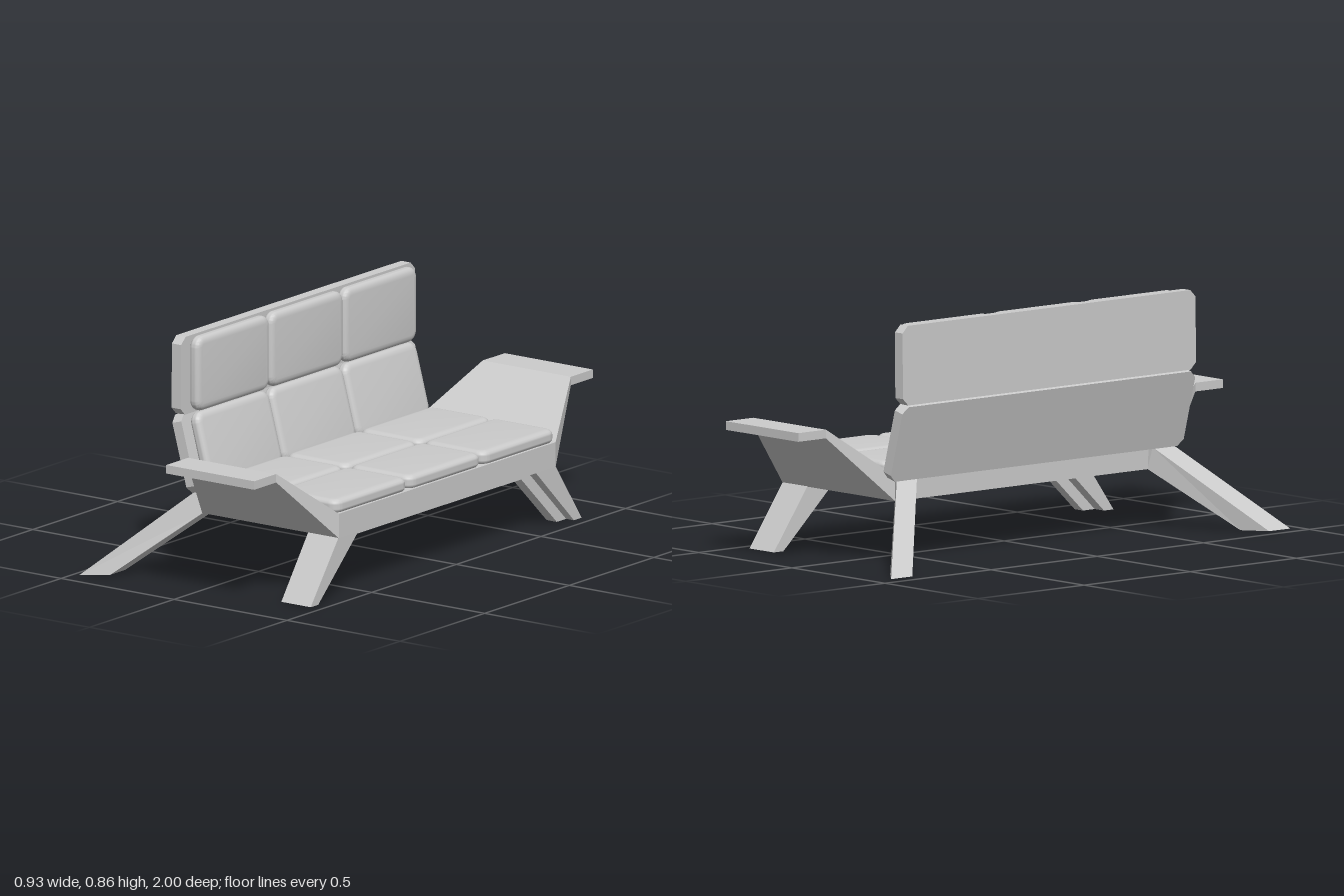
import * as THREE from 'three';
import { toCreasedNormals } from 'three/addons/utils/BufferGeometryUtils.js';

const grey = new THREE.MeshStandardMaterial({ color: 0xcccccc });

function mesh(name, geometry) {
  const m = new THREE.Mesh(geometry, grey);
  m.name = name;
  return m;
}

// Flat-faced solid through a row of four-cornered rings, capped at both ends
function loft(rings) {
  const tris = [];
  const quad = (a, b, c, d) => tris.push([a, b, c], [a, c, d]);
  for (let i = 0; i < rings.length - 1; i++) {
    const p = rings[i], q = rings[i + 1];
    for (let j = 0; j < 4; j++) {
      const k = (j + 1) % 4;
      quad(p[j], p[k], q[k], q[j]);
    }
  }
  const [a, b, c, d] = rings[0];
  quad(d, c, b, a);
  quad(...rings[rings.length - 1]);
  // turn the faces outward if the rings ran the other way round
  const v = (p) => new THREE.Vector3(...p);
  const volume = tris.reduce((s, t) => s + v(t[0]).dot(v(t[1]).cross(v(t[2]))), 0);
  if (volume < 0) tris.forEach((t) => t.reverse());
  const g = new THREE.BufferGeometry();
  g.setAttribute('position', new THREE.Float32BufferAttribute(tris.flat(2), 3));
  g.computeVertexNormals();
  return g;
}

// Upright plate: width along z, height along y, thickness along x, centred
function extrudePlate(shape, options) {
  const g = new THREE.ExtrudeGeometry(shape, options);
  g.center();
  g.rotateY(Math.PI / 2);
  return g;
}

function panelGeometry(w, h, t, cut) {
  const x = w / 2, y = h / 2;
  const points = [[x - cut, -y], [x, -y + cut], [x, y - cut], [x - cut, y],
    [-x + cut, y], [-x, y - cut], [-x, -y + cut], [-x + cut, -y]];
  const shape = new THREE.Shape(points.map((p) => new THREE.Vector2(...p)));
  return extrudePlate(shape, { depth: t, bevelEnabled: false });
}

function cushionGeometry(w, h, t) {
  const r = 0.04, x = w / 2, y = h / 2;
  const s = new THREE.Shape();
  s.absarc(x - r, y - r, r, 0, Math.PI / 2);
  s.absarc(-x + r, y - r, r, Math.PI / 2, Math.PI);
  s.absarc(-x + r, -y + r, r, Math.PI, Math.PI * 1.5);
  s.absarc(x - r, -y + r, r, Math.PI * 1.5, Math.PI * 2);
  const bevel = 0.018;
  const g = extrudePlate(s, {
    depth: t - 2 * bevel, curveSegments: 5, bevelSegments: 4,
    bevelThickness: bevel, bevelSize: 0.026, bevelOffset: -0.026,
  });
  return toCreasedNormals(g, 0.7);
}

export function createModel() {
  const model = new THREE.Group();
  model.name = 'bench';

  // Seat base that flares up into an armrest at each end: z, x0, x1, y0, y1
  const half = [
    [0.64, -0.145, 0.46, 0.22, 0.31],
    [0.87, -0.035, 0.355, 0.455, 0.486],
    [1.0, -0.035, 0.355, 0.455, 0.486],
  ];
  const mirrored = half.map(([z, ...rest]) => [-z, ...rest]).reverse();
  const rings = [...mirrored, ...half].map(([z, x0, x1, y0, y1]) =>
    [[x0, y0, z], [x1, y0, z], [x1, y1, z], [x0, y1, z]]);
  model.add(mesh('seatBaseWithArmrests', loft(rings)));

  // Stiffening rib under the front edge, running down both front legs
  const rib = (zLow, yLow, zHigh, yHigh) =>
    [[0.375, yLow, zLow], [0.42, yLow, zLow], [0.42, yHigh, zHigh], [0.375, yHigh, zHigh]];
  model.add(mesh('frontRib', loft([
    rib(-0.70, 0, -0.77, 0), rib(-0.49, 0.198, -0.53, 0.235),
    rib(0.49, 0.198, 0.53, 0.235), rib(0.70, 0, 0.77, 0),
  ])));

  for (const s of [1, -1]) {
    const side = s > 0 ? 'Left' : 'Right';

    // Front leg: broad slanted plate
    model.add(mesh('frontLeg' + side, loft([
      [[0.325, 0, s * 0.755], [0.455, 0, s * 0.755], [0.455, 0, s * 0.80], [0.325, 0, s * 0.80]],
      [[0.325, 0.225, s * 0.52], [0.459, 0.225, s * 0.52],
        [0.459, 0.225, s * 0.639], [0.325, 0.225, s * 0.639]],
    ])));

    // Rear leg: four-sided strut splayed out from the base corner
    model.add(mesh('rearLeg' + side, loft([
      [[-0.465, 0.005, s * 0.94], [-0.38, 0.005, s * 0.87],
        [-0.38, 0.005, s * 0.78], [-0.465, 0.005, s * 0.84]],
      [[-0.165, 0.30, s * 0.65], [-0.143, 0.22, s * 0.64],
        [-0.143, 0.22, s * 0.55], [-0.165, 0.30, s * 0.555]],
      [[-0.12, 0.30, s * 0.63], [-0.12, 0.225, s * 0.63],
        [-0.12, 0.225, s * 0.55], [-0.12, 0.30, s * 0.55]],
    ])));
  }

  // Backrest boards: the lower one leans, the upper one stands almost upright
  const boards = [['lowerBackPanel', -0.189, 0.4375, 0.265], ['upperBackPanel', -0.222, 0.718, -0.008]];
  for (const [name, x, y, tilt] of boards) {
    const board = mesh(name, panelGeometry(1.38, 0.285, 0.041, 0.025));
    board.position.set(x, y, 0);
    board.rotation.z = tilt;
    model.add(board);
  }

  // Cushions: four rows of three
  const backCushion = cushionGeometry(0.432, 0.272, 0.045);
  const seatCushion = cushionGeometry(0.432, 0.278, 0.052);
  const rows = [
    ['lowerBackCushion', backCushion, -0.148, 0.449, 0.265],
    ['upperBackCushion', backCushion, -0.178, 0.722, 0],
    ['rearSeatCushion', seatCushion, 0.037, 0.331, Math.PI / 2],
    ['frontSeatCushion', seatCushion, 0.318, 0.331, Math.PI / 2],
  ];
  for (const [name, geometry, x, y, tilt] of rows) {
    for (const i of [-1, 0, 1]) {
      const cushion = mesh(name, geometry);
      cushion.position.set(x, y, i * 0.435);
      cushion.rotation.z = tilt;
      model.add(cushion);
    }
  }

  return model;
}
